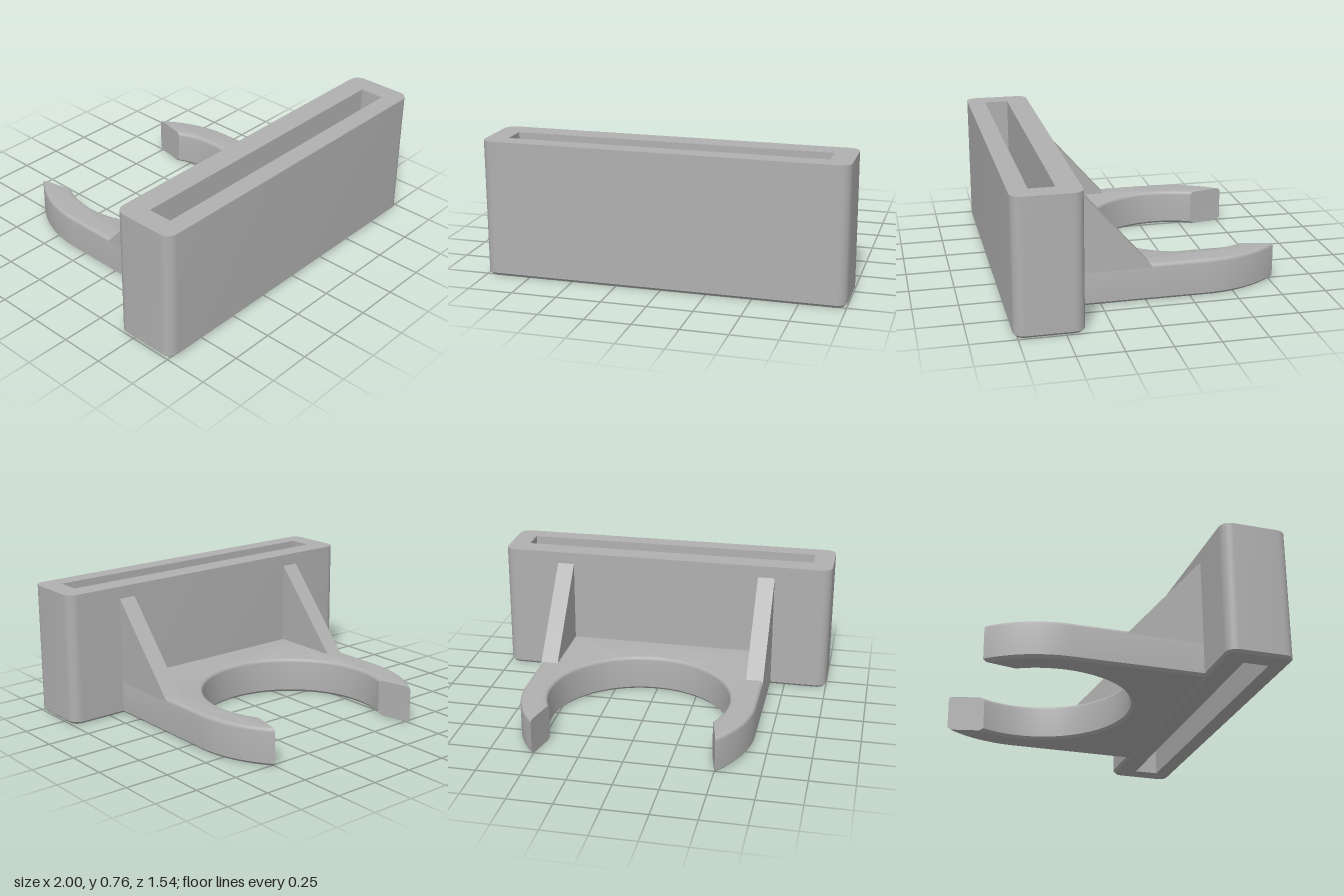
import * as THREE from 'three';
import { toCreasedNormals } from 'three/addons/utils/BufferGeometryUtils.js';

const PI = Math.PI;

// points on an arc, as (x, s) pairs where s = -z
function arc(cx, cs, r, from, to, steps) {
  return Array.from({ length: steps + 1 }, (_, i) => {
    const a = from + ((to - from) * i) / steps;
    return new THREE.Vector2(cx + r * Math.cos(a), cs + r * Math.sin(a));
  });
}

// Solid stacked from [height, inset] layers of an outline, with an optional straight hole
function stack(outline, layers, hole) {
  const pos = [];
  const put = (p, y) => pos.push(p.x, y, -p.y);
  const rings = layers.map(([y, d]) => ({ y, pts: outline(d) }));
  const wall = (lo, hi) => lo.pts.forEach((a, i) => {
    const j = (i + 1) % lo.pts.length;
    const b = lo.pts[j], c = hi.pts[j], d = hi.pts[i];
    put(a, lo.y); put(b, lo.y); put(c, hi.y);
    put(a, lo.y); put(c, hi.y); put(d, hi.y);
  });
  const cap = (ring, up) => {
    const all = hole ? [...ring.pts, ...hole] : ring.pts;
    const faces = THREE.ShapeUtils.triangulateShape(ring.pts.slice(), hole ? [hole.slice()] : []);
    for (const [a, b, c] of faces)
      for (const k of up ? [a, b, c] : [a, c, b]) put(all[k], ring.y);
  };
  for (let i = 1; i < rings.length; i++) wall(rings[i - 1], rings[i]);
  const first = rings[0], last = rings[rings.length - 1];
  if (hole) wall({ y: first.y, pts: hole }, { y: last.y, pts: hole });
  cap(first, false);
  cap(last, true);
  const geo = new THREE.BufferGeometry();
  geo.setAttribute('position', new THREE.Float32BufferAttribute(pos, 3));
  return toCreasedNormals(geo, 0.6);
}

// rounded rectangle of the strap block
function blockOutline(d) {
  const r = 0.06, x = 1 - r, s0 = -0.77 + r, s1 = -0.395 - r;
  return [
    ...arc(x, s0, r - d, -PI / 2, 0, 8),
    ...arc(x, s1, r - d, 0, PI / 2, 8),
    ...arc(-x, s1, r - d, PI / 2, PI, 8),
    ...arc(-x, s0, r - d, PI, 1.5 * PI, 8),
  ];
}

// base plate running into two curved clip arms
function clipOutline(d) {
  const cs = 0.34, R = 0.665 - d, r = 0.513 + d;
  const outer = new THREE.Vector2(0.505, 0.773), inner = new THREE.Vector2(0.46, 0.567);
  const dir = inner.clone().sub(outer).normalize();
  outer.addScaledVector(dir, d / 0.8);
  inner.addScaledVector(dir, -d / 0.63);
  const ao = Math.atan2(outer.y - cs, outer.x);
  const ai = Math.atan2(inner.y - cs, inner.x);
  return [
    new THREE.Vector2(-R, -0.4),
    new THREE.Vector2(R, -0.4),
    ...arc(0, cs, R, 0, ao, 16),
    ...arc(0, cs, r, ai, -PI - ai, 72),
    ...arc(0, cs, R, PI - ao, PI, 16),
  ];
}

export function createModel() {
  const model = new THREE.Group();
  const grey = new THREE.MeshStandardMaterial({ color: 0xb0b0b0 });
  grey.name = 'grey plastic';
  const add = (name, geo) => {
    const mesh = new THREE.Mesh(geo, grey);
    mesh.name = name;
    model.add(mesh);
    return mesh;
  };

  // block with a slot right through it, chamfered underneath
  const slot = [[-0.88, -0.665], [-0.88, -0.525], [0.88, -0.525], [0.88, -0.665]]
    .map(([x, s]) => new THREE.Vector2(x, s));
  add('slottedBlock', stack(blockOutline, [[0, 0.015], [0.015, 0], [0.76, 0]], slot));

  // clip with chamfered bottom edge and rounded top edge
  const layers = [[0, 0.015], [0.015, 0]];
  for (let i = 0; i <= 4; i++) {
    const a = (i / 4) * (PI / 2);
    layers.push([0.19 + 0.02 * Math.sin(a), 0.02 * (1 - Math.cos(a))]);
  }
  add('clip', stack(clipOutline, layers));

  // triangular ribs bracing the block
  const rib = new THREE.Shape([[-0.4, 0.19], [0.03, 0.19], [0.03, 0.2], [-0.395, 0.69], [-0.4, 0.69]]
    .map(([u, v]) => new THREE.Vector2(u, v)));
  const ribGeo = new THREE.ExtrudeGeometry(rib, { depth: 0.1, bevelEnabled: false });
  ribGeo.rotateY(PI / 2);
  add('leftRib', ribGeo).position.x = 0.565;
  add('rightRib', ribGeo).position.x = -0.665;

  return model;
}
